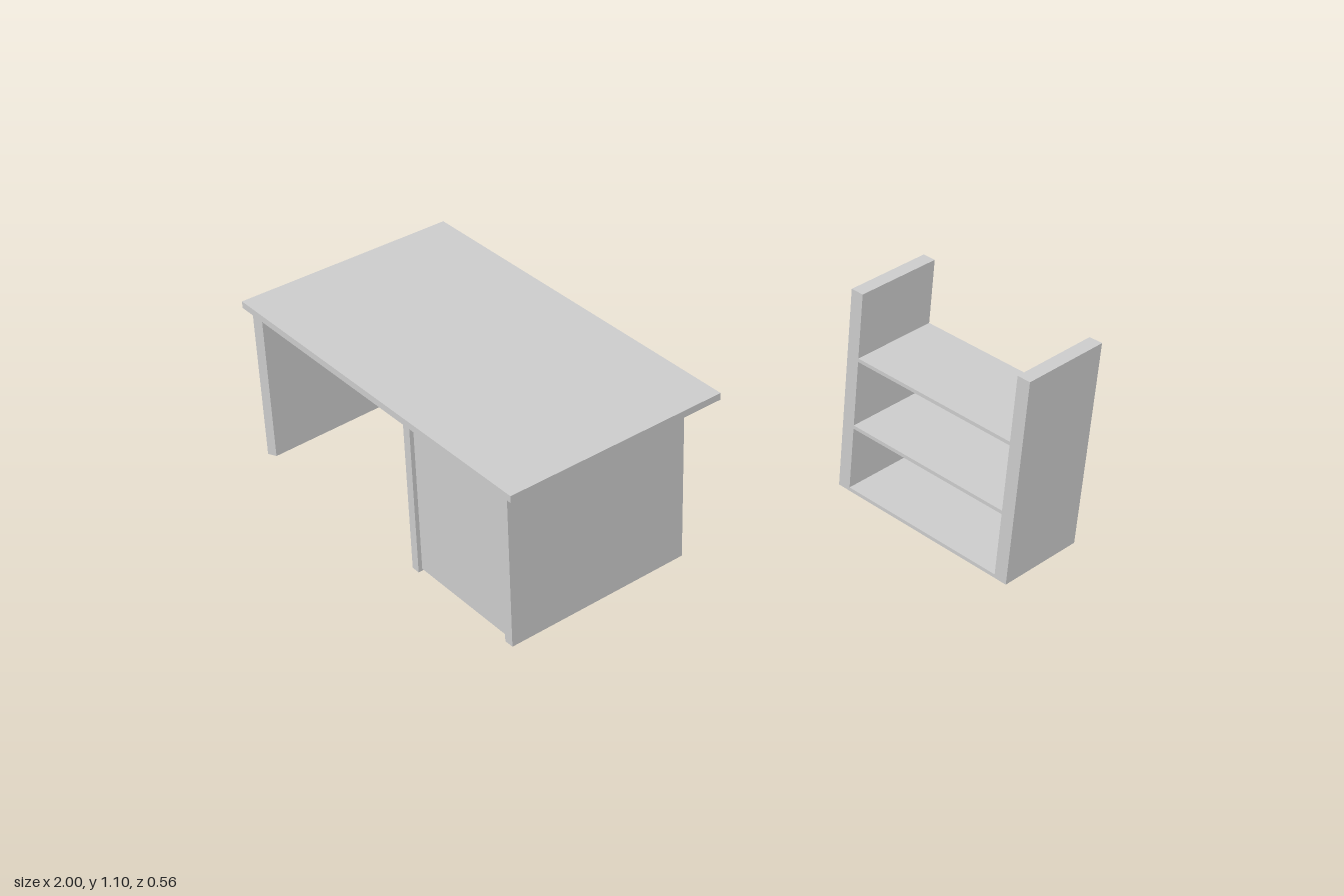
import * as THREE from 'three';

const material = new THREE.MeshStandardMaterial({ color: 0xcccccc, flatShading: true });

function add(parent, name, geometry) {
  const mesh = new THREE.Mesh(geometry, material);
  mesh.name = name;
  parent.add(mesh);
  return mesh;
}

// Box given by its limits on each axis
function box(parent, name, [x0, x1], [y0, y1], [z0, z1]) {
  const g = new THREE.BoxGeometry(x1 - x0, y1 - y0, z1 - z0);
  g.translate((x0 + x1) / 2, (y0 + y1) / 2, (z0 + z1) / 2);
  return add(parent, name, g);
}

// Four-sided sections, listed from front to back, joined into a closed solid
function loft(sections) {
  const pos = [];
  const quad = (a, b, c, d) => pos.push(...a, ...b, ...c, ...a, ...c, ...d);
  for (let s = 0; s < sections.length - 1; s++) {
    const a = sections[s], b = sections[s + 1];
    for (let i = 0; i < 4; i++) {
      const j = (i + 1) % 4;
      quad(a[i], b[i], b[j], a[j]);
    }
  }
  const f = sections[0], l = sections[sections.length - 1];
  quad(f[0], f[1], f[2], f[3]);
  quad(l[3], l[2], l[1], l[0]);
  const g = new THREE.BufferGeometry();
  g.setAttribute('position', new THREE.Float32BufferAttribute(pos, 3));
  g.computeVertexNormals();
  return g;
}

function createDesk() {
  const desk = new THREE.Group();
  desk.name = 'desk';
  box(desk, 'deskTop', [-1, -0.028], [0.41, 0.427], [-0.281, 0.281]);

  // Tapered end panel with an uneven foot: z, outer x, inner x, outer and inner foot height
  const sections = [
    [0.26, -0.995, -0.957, 0.002, 0.016],
    [-0.09, -0.997, -0.968, 0, 0.017],
    [-0.265, -0.998, -0.973, 0.018, 0.018],
  ].map(([z, xo, xi, yo, yi]) => [[xo, yo, z], [xi, yi, z], [xi, 0.41, z], [xo, 0.41, z]]);
  add(desk, 'endPanel', loft(sections));

  // Drawer pedestal
  const pedestal = new THREE.Group();
  pedestal.name = 'pedestal';
  desk.add(pedestal);
  const inner = [-0.398, -0.092];
  box(pedestal, 'pedestalRightSide', [-0.42, inner[0]], [0.005, 0.41], [-0.215, 0.26]);
  box(pedestal, 'pedestalLeftSide', [inner[1], -0.068], [0.005, 0.41], [-0.215, 0.26]);
  box(pedestal, 'pedestalFront', inner, [0.01, 0.41], [0.232, 0.25]);
  box(pedestal, 'pedestalBottom', inner, [0.009, 0.022], [-0.155, 0.24]);
  box(pedestal, 'kickPlate', inner, [0.009, 0.065], [-0.155, -0.14]);

  // Drawers with small flared knobs
  const knob = new THREE.LatheGeometry(
    [[0, 0], [0.004, 0], [0.004, 0.004], [0.009, 0.01], [0.006, 0.015], [0, 0.015]]
      .map(([r, y]) => new THREE.Vector2(r, y)), 8);
  knob.rotateX(-Math.PI / 2);
  [[0.303, 0.402, 0.352], [0.187, 0.299, 0.244], [0.06, 0.183, 0.128]].forEach(([y0, y1, ky]) => {
    box(pedestal, 'drawerFace', inner, [y0, y1], [-0.212, -0.19]);
    add(pedestal, 'drawerKnob', knob).position.set(-0.245, ky, -0.212);
  });
  box(pedestal, 'drawerBacking', inner, [0.062, 0.41], [-0.19, -0.18]);
  return desk;
}

function createShelf() {
  const shelf = new THREE.Group();
  shelf.name = 'wallShelf';
  const depth = [-0.144, 0.032];
  box(shelf, 'shelfRightSide', [0.617, 0.642], [0.695, 1.1], depth);
  box(shelf, 'shelfLeftSide', [0.975, 1], [0.695, 1.1], depth);
  for (const y of [0.695, 0.828, 0.966]) {
    box(shelf, 'shelfBoard', [0.642, 0.975], [y, y + 0.007], depth);
  }
  // The unit sits slightly askew
  for (const { geometry } of shelf.children) {
    const p = geometry.attributes.position;
    for (let i = 0; i < p.count; i++) p.setZ(i, p.getZ(i) - 0.022 * (p.getX(i) - 0.81));
    geometry.computeVertexNormals();
  }
  return shelf;
}

export function createModel() {
  const model = new THREE.Group();
  model.name = 'deskAndShelf';
  model.add(createDesk(), createShelf());
  return model;
}
